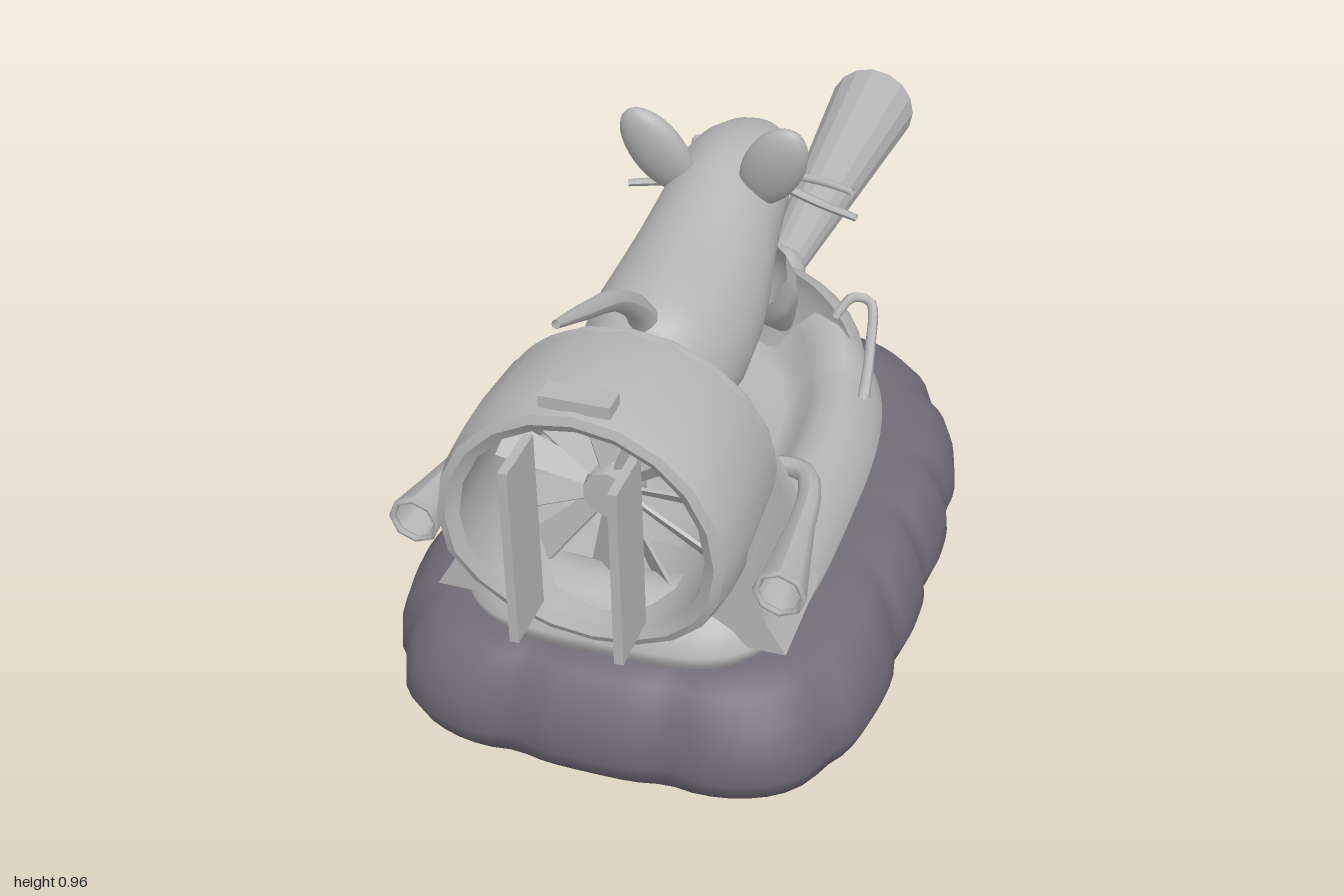
import * as THREE from 'three';
import { toCreasedNormals } from 'three/addons/utils/BufferGeometryUtils.js';

const V = (x, y, z) => new THREE.Vector3(x, y, z);

// Joins closed rings of equal length into one skin
function loft(rings) {
  const n = rings[0].length, pos = [], idx = [];
  rings.forEach(r => r.forEach(p => pos.push(p.x, p.y, p.z)));
  for (let i = 0; i < rings.length - 1; i++) {
    for (let j = 0; j < n; j++) {
      const a = i * n + j, b = i * n + (j + 1) % n;
      idx.push(a, a + n, b, b, a + n, b + n);
    }
  }
  const g = new THREE.BufferGeometry();
  g.setAttribute('position', new THREE.Float32BufferAttribute(pos, 3));
  g.setIndex(idx);
  g.computeVertexNormals();
  return g;
}

// Boat-like plan outline, squarer towards +z and rounder towards -z
function outline(w, l, zc, nFront, nBack, y, pleat = 0) {
  const pts = [], N = 128;
  for (let i = 0; i < N; i++) {
    const t = i / N * Math.PI * 2, c = Math.cos(t), s = Math.sin(t);
    const n = s > 0 ? nFront : nBack;
    const r = Math.pow(Math.abs(c / w) ** n + Math.abs(s / l) ** n, -1 / n)
      - pleat * (1 - Math.abs(Math.sin(t * 7))) ** 2;
    pts.push(V(c * r, y, zc + s * r));
  }
  return pts;
}

// Tube along a curve with a radius that changes along its length
function taper(points, radii, sides = 10, seg = 20) {
  const curve = new THREE.CatmullRomCurve3(points.map(p => V(...p)));
  const g = new THREE.TubeGeometry(curve, seg, 1, sides);
  const p = g.attributes.position, v = V(0, 0, 0);
  for (let i = 0; i < p.count; i++) {
    const u = Math.floor(i / (sides + 1)) / seg, f = u * (radii.length - 1);
    const k = Math.min(Math.floor(f), radii.length - 2);
    const r = THREE.MathUtils.lerp(radii[k], radii[k + 1], f - k);
    const c = curve.getPointAt(u);
    v.fromBufferAttribute(p, i).sub(c).multiplyScalar(r).add(c);
    p.setXYZ(i, v.x, v.y, v.z);
  }
  g.computeVertexNormals();
  return g;
}

// Moves every vertex by a rule
function bend(g, rule) {
  const p = g.attributes.position, v = V(0, 0, 0);
  for (let i = 0; i < p.count; i++) {
    rule(v.fromBufferAttribute(p, i));
    p.setXYZ(i, v.x, v.y, v.z);
  }
  g.computeVertexNormals();
  return g;
}

export function createModel() {
  const model = new THREE.Group();
  const grey = new THREE.MeshStandardMaterial({ color: 0xb6b6b6, side: THREE.DoubleSide });
  grey.name = 'light grey';
  const rubber = new THREE.MeshStandardMaterial({ color: 0x716c77 });
  rubber.name = 'dark rubber';
  const add = (name, geo, x = 0, y = 0, z = 0, parent = model, mat = grey) => {
    const m = new THREE.Mesh(geo, mat);
    m.name = name;
    m.position.set(x, y, z);
    parent.add(m);
    return m;
  };

  // Pleated air cushion with a hollow underside: [inset, height, pleat depth]
  const skirt = [[.459, .13, 0], [.25, .125, 0], [.15, .1, 0], [.115, .06, 0], [.09, .02, 0], [.055, .006, .006],
    [.018, .004, .014], [0, .05, .024], [.004, .1, .024], [.02, .15, .024], [.055, .195, .014],
    [.11, .215, 0], [.45, .215, 0]];
  add('skirt', loft(skirt.map(([d, y, k]) => outline(.462 - d, .638 - d, .31, 4.2, 2.8, y, k))),
    0, 0, 0, model, rubber);

  // Hull with a sunken cockpit, its rim rising at the nose: [inset, height, nose rise]
  const hull = [[.02, .205, 0], [.004, .23, 0], [0, .25, 0], [.018, .285, .1], [.045, .32, .3], [.075, .335, .45],
    [.11, .335, .45], [.14, .31, .3], [.16, .28, .1], [.19, .265, 0], [.322, .262, 0]];
  add('hull', loft(hull.map(([d, y, k]) => {
    const ring = outline(.325 - d, .535 - d, .335, 4, 2.4, y);
    ring.forEach(p => { p.y += k * Math.max(0, .08 - p.z); });
    return ring;
  })));

  // Nose cowl: arches [z, half width, top], closed below
  const arch = ([z, w, top]) => Array.from({ length: 32 }, (_, i) => {
    const t = i / 32 * Math.PI * 2, s = Math.sin(t);
    return V(Math.cos(t) * w, .25 + (s > 0 ? s * (top - .25) : s * .01), z + (1 - Math.max(0, s)) * .03);
  });
  add('noseCowl', toCreasedNormals(loft([[-.04, .02, .28], [-.04, .19, .45], [-.02, .235, .5], [-.05, .245, .485],
    [-.1, .225, .45], [-.145, .185, .405], [-.175, .14, .34], [-.2, .085, .28], [-.208, .03, .255]].map(arch)), .9));

  // Lamp and its long flared horn, open at the far end
  add('lampBall', new THREE.SphereGeometry(.055, 14, 10), 0, .345, -.222);
  const horn = new THREE.CylinderGeometry(.042, .1, .755, 16, 1, true).rotateX(Math.PI / 2);
  add('horn', toCreasedNormals(horn, .2), 0, .345, -.6225);

  // Fan duct, its lower front edge swept back and its rear edge raked
  const duct = new THREE.LatheGeometry([[.232, .665], [.247, .66], [.254, .69], [.26, .8], [.258, .88], [.248, .925],
    [.232, .93], [.212, .915], [.215, .74], [.232, .665]].map(([r, z]) => new THREE.Vector2(r, z)), 20);
  duct.rotateX(Math.PI / 2).translate(0, .512, 0);
  add('duct', toCreasedNormals(bend(duct, v => {
    if (v.z > .85) v.z -= Math.max(0, .45 - v.y) * .25;
    else if (v.z < .75) v.z -= (.76 - v.y) * .12;
  }), .5));
  add('ductTab', new THREE.BoxGeometry(.12, .022, .045), 0, .77, .892);

  // Duct mount that sweeps out into the hull
  const mount = new THREE.Shape();
  const flare = [[.318, .255], [.3, .285], [.285, .31], [.275, .335], [.268, .37], [.262, .41], [.258, .45]];
  flare.forEach(([x, y], i) => (i ? mount.lineTo(x, y) : mount.moveTo(x, y)));
  mount.absarc(0, .512, .25, -.1, Math.PI + .1, false);
  [...flare].reverse().forEach(([x, y]) => mount.lineTo(-x, y));
  mount.holes.push(new THREE.Path().absarc(0, .512, .225, 0, Math.PI * 2, true));
  const mountGeo = new THREE.ExtrudeGeometry(mount, { depth: .14, bevelEnabled: false, curveSegments: 20 });
  mountGeo.translate(0, 0, .67);
  add('ductMount', toCreasedNormals(bend(mountGeo, v => {
    if (v.z < .7) v.z -= (.76 - v.y) * .12 + Math.max(0, .45 - v.y) ** 2 * 7;
  }), .5));

  // Fan with pitched, widening blades
  const fan = new THREE.Group();
  fan.name = 'fan';
  fan.position.set(0, .505, .76);
  model.add(fan);
  add('hub', new THREE.CylinderGeometry(.045, .05, .06, 10).rotateX(Math.PI / 2), 0, 0, 0, fan);
  const blades = 11;
  for (let i = 0; i < blades; i++) {
    const g = bend(new THREE.BoxGeometry(.17, .064, .006).translate(.12, 0, 0), v => { v.y *= .4 + v.x * 3; });
    g.rotateX(.7).rotateZ(i / blades * Math.PI * 2);
    add('blade', toCreasedNormals(g, .4), 0, 0, 0, fan);
  }

  // Mouse body from rump to nose: [z, centre height, half width, half height]
  const mouse = new THREE.Group();
  mouse.name = 'mouse';
  model.add(mouse);
  const body = [[.642, .62, .004, .004], [.636, .618, .055, .07], [.61, .612, .1, .124], [.55, .61, .136, .15],
    [.45, .613, .146, .154], [.36, .623, .142, .154], [.28, .645, .132, .152], [.21, .678, .12, .143],
    [.15, .705, .113, .127], [.1, .726, .111, .108], [.03, .737, .1, .087], [-.03, .738, .08, .066],
    [-.075, .734, .055, .046], [-.1, .731, .031, .027], [-.112, .729, .004, .004]];
  add('body', loft(body.map(([z, y, rx, ry]) => Array.from({ length: 28 }, (_, i) => {
    const t = i / 28 * Math.PI * 2;
    return V(Math.cos(t) * rx, y + Math.sin(t) * ry, z);
  }))), 0, 0, 0, mouse);
  add('tail', taper([[0, .71, .58], [0, .765, .615], [0, .85, .72], [0, .905, .84], [0, .957, .965]],
    [.028, .021, .018, .014, .007]), 0, 0, 0, mouse);

  // Everything that comes in pairs
  for (const s of [-1, 1]) {
    // Cupped ear, hollow towards the nose
    const ear = bend(new THREE.SphereGeometry(1, 24, 18), v => {
      const r = Math.hypot(v.x, v.y);
      if (v.z < 0 && r < .75) v.z = -.66 + (1 - r / .75) * 1.1;
      v.x *= .056;
      v.y *= .1;
      v.z *= .032;
    });
    add('ear', ear, s * .11, .837, .2, mouse).rotation.set(.25, 0, -s * .46);
    add('eye', new THREE.SphereGeometry(.016, 12, 8), s * .08, .778, .05, mouse);

    // Legs and feet
    add('frontLeg', taper([[s * .07, .61, .22], [s * .09, .55, .175], [s * .1, .485, .13], [s * .1, .438, .095]],
      [.08, .068, .04, .02]), 0, 0, 0, mouse);
    add('frontPaw', new THREE.SphereGeometry(.022, 10, 8), s * .1, .44, .094, mouse);
    add('thigh', new THREE.SphereGeometry(1, 18, 12), s * .078, .545, .54, mouse).scale.set(.06, .085, .085);
    add('hindFoot', new THREE.SphereGeometry(1, 12, 8), s * .085, .473, .55, mouse).scale.set(.03, .018, .09);

    // Whiskers
    add('upperWhisker', taper([[s * .075, .71, 0], [s * .15, .712, .012], [s * .215, .71, .03]],
      [.009, .009, .007], 6), 0, 0, 0, mouse);
    add('lowerWhisker', taper([[s * .07, .69, .01], [s * .15, .672, .025], [s * .228, .664, .045]],
      [.009, .009, .007], 6), 0, 0, 0, mouse);

    // Exhaust pipe with a rolled mouth
    add('exhaust', taper([[s * .322, .437, .868], [s * .31, .438, .72], [s * .297, .44, .6], [s * .275, .442, .55],
      [s * .22, .435, .535], [s * .16, .41, .56]], [.046, .034, .024, .02, .018, .018], 8, 24));
    add('exhaustRim', new THREE.TorusGeometry(.041, .006, 6, 8), s * .322, .437, .866);

    // Rudder behind the fan and grab rail beside the cockpit
    add('rudder', new THREE.BoxGeometry(.016, .345, .11), s * .091, .51, .944);
    add('grabRail', taper([[s * .19, .43, .03], [s * .205, .425, -.05], [s * .235, .415, -.06],
      [s * .265, .38, .05], [s * .28, .335, .15]], [.009, .01, .01, .01, .012], 8));
  }

  // Single control lever
  add('lever', taper([[-.272, .34, .44], [-.262, .4, .485], [-.25, .45, .55], [-.236, .465, .65]],
    [.012, .01, .01, .01], 8));

  return model;
}
